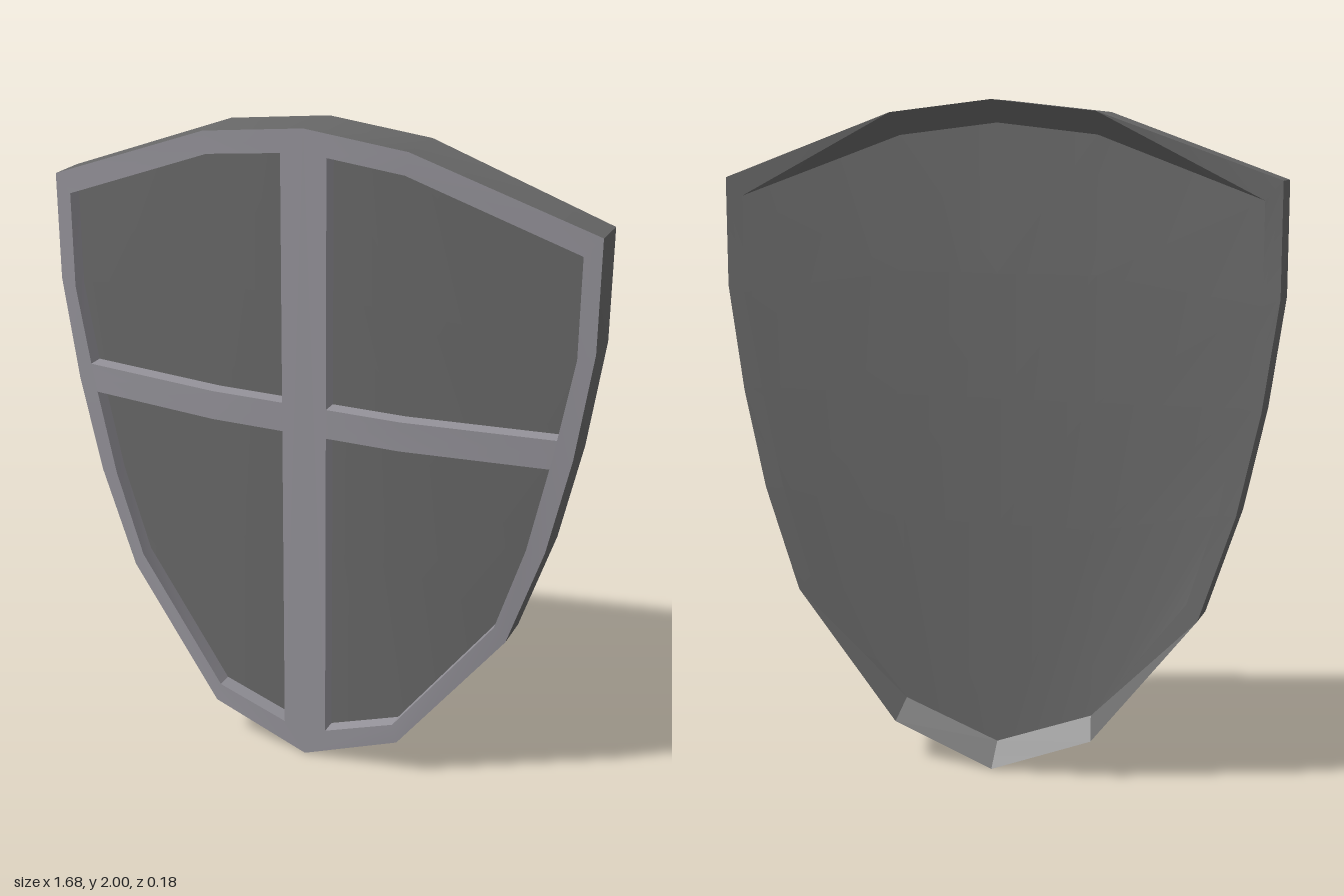
import * as THREE from 'three';
import { toCreasedNormals } from 'three/addons/utils/BufferGeometryUtils.js';

// Half outline of the shield (+x side), from top centre down to the tip
const OUTER = [[0, 2], [0.31, 1.965], [0.84, 1.775], [0.84, 1.45], [0.795, 1.13],
  [0.73, 0.83], [0.625, 0.515], [0.31, 0.12], [0, 0]];
// Inner edge of the rim, point for point
const INNER = [[0.07, 1.925], [0.3, 1.9], [0.79, 1.72], [0.79, 1.43], [0.74, 1.14],
  [0.675, 0.83], [0.59, 0.56], [0.295, 0.18], [0.07, 0.1]];
const BACK_Z = -0.09, RECESS = 0.05, THICK = 0.12;

// Half width of the shield at height y, along the side edge
function halfWidth(y) {
  const side = OUTER.slice(2, 7);
  if (y >= side[0][1]) return side[0][0];
  for (let i = 0; i < side.length - 1; i++) {
    const [x0, y0] = side[i], [x1, y1] = side[i + 1];
    if (y >= y1) return x1 + (x0 - x1) * (y - y1) / (y0 - y1);
  }
  return side[side.length - 1][0];
}

// Front face: flat in the middle, bending back towards the sides
function frontZ(x, y) {
  const s = (x - 0.31) / (halfWidth(y) - 0.31);
  return 0.09 - 0.06 * Math.min(1, Math.max(0, s));
}
const onFront = (pts, drop = 0) => pts.map(([x, y]) => [x, y, frontZ(x, y) - drop]);
const onBack = (pts) => pts.map(([x, y]) => [x, y, BACK_Z]);

// Joins pairs of point rows into surfaces and mirrors them across x = 0
function surface(name, material, strips) {
  const pos = [];
  const tri = (a, b, c) => {
    pos.push(...a, ...b, ...c);
    for (const [x, y, z] of [a, c, b]) pos.push(-x, y, z);
  };
  for (const [A, B] of strips) {
    for (let i = 0; i < A.length - 1; i++) {
      tri(A[i], B[i], A[i + 1]);
      tri(B[i], B[i + 1], A[i + 1]);
    }
  }
  const geo = new THREE.BufferGeometry();
  geo.setAttribute('position', new THREE.Float32BufferAttribute(pos, 3));
  const mesh = new THREE.Mesh(toCreasedNormals(geo, 0.4), material);
  mesh.name = name;
  return mesh;
}

export function createModel() {
  const group = new THREE.Group();
  group.name = 'shield';
  const trim = new THREE.MeshStandardMaterial({ color: 0x95939a });
  trim.name = 'light steel trim';
  const body = new THREE.MeshStandardMaterial({ color: 0x686868 });
  body.name = 'dark steel body';

  // Front rim and the two bars of the cross
  group.add(surface('frontRim', trim, [[onFront(OUTER), onFront(INNER)]]));
  group.add(surface('verticalBar', trim, [
    [onFront([[0.07, 1.925], [0.07, 0.1]]), onFront([[0, 2], [0, 0]])],
  ]));
  const barEnd = [[0.748, 1.185], [0.74, 1.14], [0.731, 1.095]];
  const column = (x, pts) => pts.map((p) => [x, p[1]]);
  group.add(surface('crossBar', trim, [
    [onFront(barEnd), onFront(column(0.3, barEnd))],
    [onFront(column(0.3, barEnd)), onFront(column(0.07, barEnd))],
  ]));

  // Recessed panels: side edge, bend line and edge beside the vertical bar
  const panels = {
    upperPanel: [
      [[0.79, 1.72], [0.79, 1.43], [0.748, 1.185]],
      [[0.3, 1.9], [0.3, 1.5], [0.3, 1.185]],
      [[0.07, 1.925], [0.07, 1.5], [0.07, 1.185]],
    ],
    lowerPanel: [
      [[0.731, 1.095], [0.675, 0.83], [0.59, 0.56]],
      [[0.3, 1.095], [0.3, 0.7], [0.295, 0.18]],
      [[0.07, 1.095], [0.07, 0.7], [0.07, 0.1]],
    ],
  };
  for (const [name, [edge, bend, bar]] of Object.entries(panels)) {
    group.add(surface(name, body, [
      [onFront(edge, RECESS), onFront(bend, RECESS)],
      [onFront(bend, RECESS), onFront(bar, RECESS)],
    ]));
    // Clockwise loop of walls around the recess
    const loop = [bar[0], bend[0], ...edge, bend[2], bar[2], bar[0]];
    group.add(surface(name + 'Walls', trim, [[onFront(loop), onFront(loop, RECESS)]]));
  }

  // Outer wall
  group.add(surface('outerWall', body, [[onBack(OUTER), onFront(OUTER)]]));

  // Hollow back: sloping lip and a face that follows the front
  const inset = INNER.map((p) => [...p]);
  inset[0] = [0, 1.935];
  inset[8] = [0, 0.07];
  group.add(surface('backLip', body, [[onFront(inset, THICK), onBack(OUTER)]]));
  const side = inset.slice(2, 7);
  const bendLine = [1.9, 1.5, 1.13, 0.75, 0.18].map((y, i) => [i === 4 ? 0.295 : 0.3, y]);
  const middle = [1.935, 1.5, 1.13, 0.75, 0.07].map((y) => [0, y]);
  group.add(surface('backFace', body, [
    [onFront(bendLine, THICK), onFront(side, THICK)],
    [onFront(middle, THICK), onFront(bendLine, THICK)],
  ]));
  return group;
}
